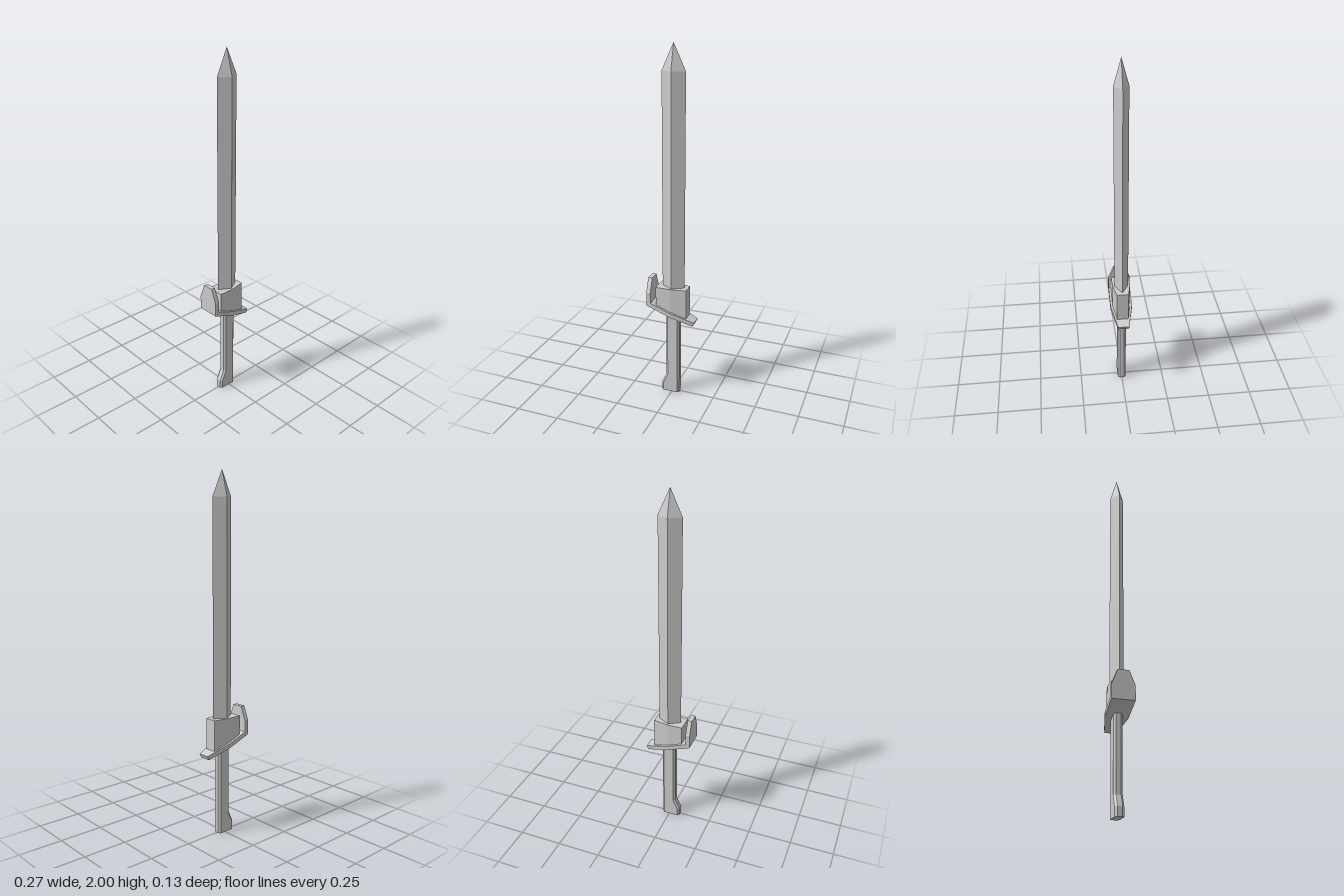
import * as THREE from 'three';

const material = new THREE.MeshStandardMaterial({ color: 0xcccccc, flatShading: true });

// Closed solid through rings of [x, y, z] points, bottom ring first,
// each ring running anticlockwise when seen from above.
function loft(name, rings) {
  const pos = [];
  const tri = (a, b, c) => pos.push(...a, ...b, ...c);
  const n = rings[0].length;
  for (let r = 0; r + 1 < rings.length; r++) {
    const lo = rings[r], hi = rings[r + 1];
    for (let i = 0; i < n; i++) {
      const j = (i + 1) % n;
      tri(lo[i], lo[j], hi[j]);
      tri(lo[i], hi[j], hi[i]);
    }
  }
  const bottom = rings[0], top = rings[rings.length - 1];
  for (let i = 1; i + 1 < n; i++) {
    tri(bottom[0], bottom[i + 1], bottom[i]);
    tri(top[0], top[i], top[i + 1]);
  }
  const geometry = new THREE.BufferGeometry();
  geometry.setAttribute('position', new THREE.Float32BufferAttribute(pos, 3));
  geometry.computeVertexNormals();
  const mesh = new THREE.Mesh(geometry, material);
  mesh.name = name;
  return mesh;
}

// Ring from an [x, z] outline; y is a number or a function of x
const ring = (outline, y) =>
  outline.map(([x, z]) => [x, typeof y === 'function' ? y(x) : y, z]);

// Outline mirrored in z: straight at the left, tapering towards +x
const tapered = (x0, z0, x1, z1) =>
  [[x1, z1], [x1, -z1], [0, -z0], [x0, -z0], [x0, z0], [0, z0]];

const rect = (x0, x1, z) => [[x1, z], [x1, -z], [x0, -z], [x0, z]];

// Rectangle with chamfered corners
const chamfered = (x0, x1, z, c) => [
  [x1, z - c], [x1, c - z], [x1 - c, -z], [x0 + c, -z],
  [x0, c - z], [x0, z - c], [x0 + c, z], [x1 - c, z],
];

// Sloping underside and top of the guard
const guardBottom = (x) => 0.508 - 0.377 * x;
const guardTop = (x) => guardBottom(x) + 0.026;

export function createModel() {
  const group = new THREE.Group();
  group.name = 'sword';

  // Diamond-section blade running to a point
  const diamond = [[0.068, 0], [0.002, -0.039], [-0.063, 0], [0.002, 0.039]];
  const tip = diamond.map(() => [0.002, 0]);
  group.add(loft('blade', [ring(diamond, 0.6), ring(diamond, 1.86), ring(tip, 2)]));

  // Block at the foot of the blade
  const block = tapered(-0.086, 0.05, 0.088, 0.033);
  group.add(loft('bladeCollar', [ring(block, (x) => guardTop(x) - 0.01), ring(block, 0.675)]));

  // Sloping guard plate
  group.add(loft('guardPlate', [
    ring(tapered(-0.138, 0.063, 0.127, 0.032), guardBottom),
    ring(tapered(-0.138, 0.063, 0.137, 0.032), guardTop),
  ]));

  // Upright hook on the guard, narrowing at the top
  group.add(loft('guardHook', [
    ring(rect(-0.138, -0.114, 0.063), guardBottom),
    ring(rect(-0.138, -0.114, 0.063), 0.64),
    ring(rect(-0.138, -0.114, 0.031), 0.72),
  ]));

  // Grip flaring to one side at the pommel
  const grip = [[0, -0.063], [0.05, -0.063], [0.11, -0.036], [0.53, -0.036]];
  group.add(loft('grip', grip.map(([y, x0]) => ring(chamfered(x0, 0.043, 0.024, 0.011), y))));

  return group;
}
